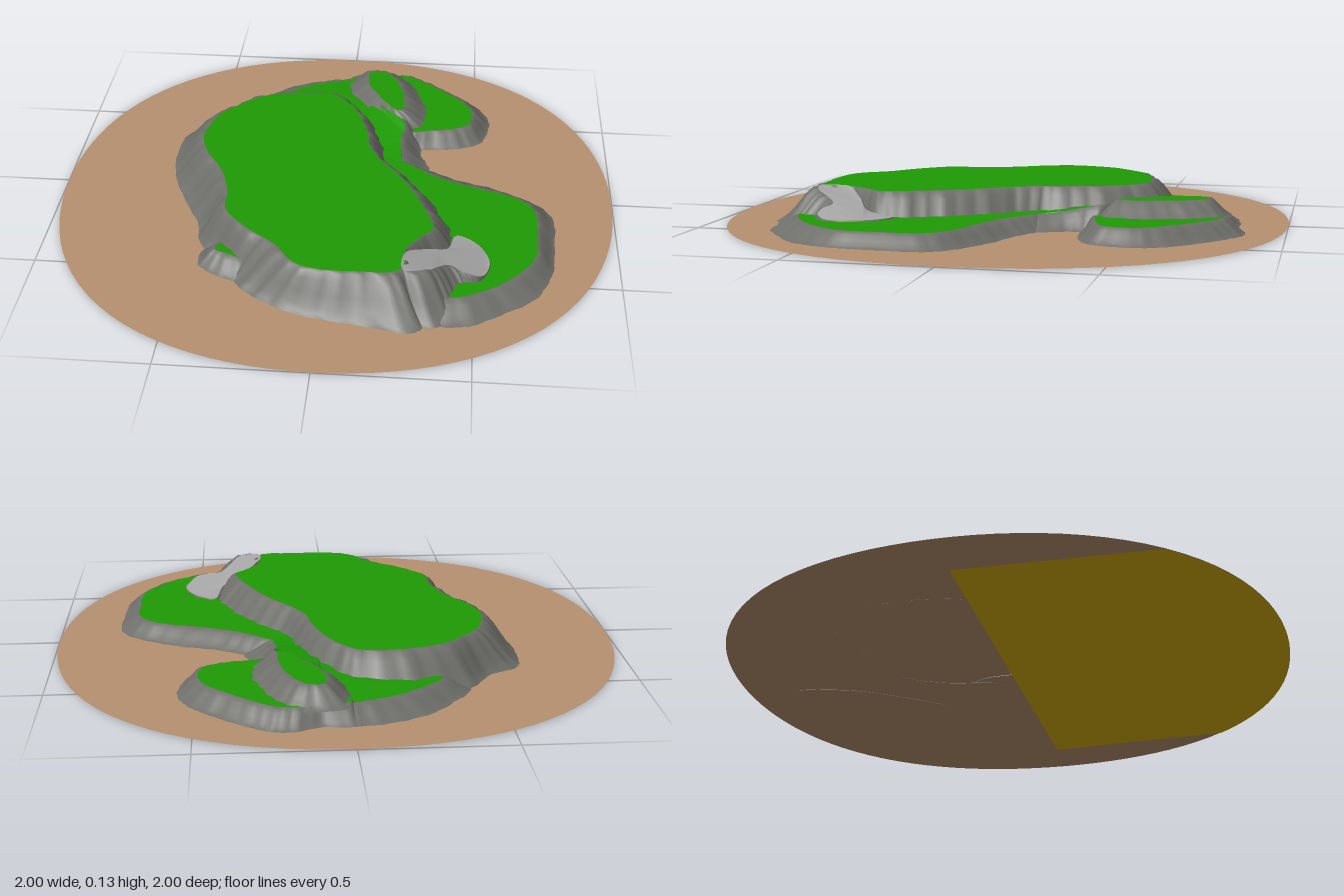
import * as THREE from 'three';

const mat = (name, color, side = THREE.FrontSide) => {
  const m = new THREE.MeshStandardMaterial({ color, side });
  m.name = name;
  return m;
};

// flat cap over an outline of Vector3, facing up (or down)
function capGeometry(ring, up = true) {
  const flat = ring.map(p => new THREE.Vector2(p.x, p.z));
  const index = [];
  for (const [a, b, c] of THREE.ShapeUtils.triangulateShape(flat, [])) {
    const e = flat[b].clone().sub(flat[a]), f = flat[c].clone().sub(flat[a]);
    const facesUp = e.y * f.x - e.x * f.y > 0;
    index.push(...(facesUp === up ? [a, b, c] : [a, c, b]));
  }
  const g = new THREE.BufferGeometry().setFromPoints(ring);
  g.setIndex(index);
  g.computeVertexNormals();
  return g;
}

// smooth closed outline through [x, z] points
function outline(points, samples) {
  const curve = new THREE.CatmullRomCurve3(
    points.map(([x, z]) => new THREE.Vector3(x, 0, z)), true, 'centripetal');
  return Array.from({ length: samples }, (_, i) => curve.getPoint(i / samples));
}

// cliff section: [part of the way out, part of the height]
const CLIFF = [[0, 1], [0.1, 0.97], [0.28, 0.8], [0.5, 0.5], [0.72, 0.22], [0.88, 0.07], [1, 0]];

// raised ground: rows of [topX, topZ, footX, footZ], clockwise from above
function plateau(name, rows, height, topMat, wallMat, base = 0) {
  const n = rows.length * 6;
  const top = outline(rows.map(r => [r[0], r[1]]), n);
  const foot = outline(rows.map(r => [r[2], r[3]]), n);
  top.forEach(p => { p.y = typeof height === 'number' ? height : height(p.x, p.z); });

  const verts = [], index = [];
  CLIFF.forEach(([out, up], k) => {
    for (let i = 0; i < n; i++) {
      // gentle vertical gullies in the rock
      const gully = k > 0 && k < CLIFF.length - 1 ? 0.04 * Math.sin(i * 1.9) + 0.03 * Math.sin(i * 0.83) : 0;
      const p = top[i].clone().lerp(foot[i], out + gully);
      p.y = base + (top[i].y - base) * up;
      verts.push(p);
      if (k === 0) continue;
      const j = (i + 1) % n, a = (k - 1) * n, b = k * n;
      index.push(a + i, a + j, b + i, a + j, b + j, b + i);
    }
  });
  const wall = new THREE.BufferGeometry().setFromPoints(verts);
  wall.setIndex(index);
  wall.computeVertexNormals();

  const group = new THREE.Group();
  group.name = name;
  const cliff = new THREE.Mesh(wall, wallMat);
  cliff.name = name + 'Cliff';
  const ground = new THREE.Mesh(capGeometry(top), topMat);
  ground.name = name + 'Ground';
  group.add(cliff, ground);
  return group;
}

export function createModel() {
  const sand = mat('brown earth', 0xb7916f, THREE.DoubleSide);
  const yellow = mat('yellow underside', 0xd6b00a);
  const grass = mat('green grass', 0x1e9a05);
  const rock = mat('grey rock', 0x6e6e6a);
  const gravel = mat('light grey gravel', 0xa6a6a6);
  const island = new THREE.Group();
  island.name = 'island';

  // thin round base, slightly fuller on the diagonals
  const rim = Array.from({ length: 96 }, (_, i) => {
    const a = i / 96 * Math.PI * 2, r = 1 + 0.03 * Math.sin(2 * a) ** 2;
    return new THREE.Vector3(r * Math.cos(a), 0.002, r * Math.sin(a));
  });
  const base = new THREE.Mesh(capGeometry(rim), sand);
  base.name = 'base';

  // yellow sheet under the front half
  const half = rim.filter(p => p.z > 0.001 && Math.abs(p.x) < 0.8).map(p => new THREE.Vector3(p.x, 0, p.z));
  half.push(new THREE.Vector3(-0.8, 0, 0), new THREE.Vector3(0.8, 0, 0));
  const sheet = new THREE.Mesh(capGeometry(half, false), yellow);
  sheet.name = 'undersideSheet';
  island.add(base, sheet);

  // tall main plateau
  island.add(plateau('mainPlateau', [
    [-0.50, -0.22, -0.63, -0.26], [-0.47, -0.31, -0.61, -0.36], [-0.42, -0.37, -0.51, -0.42],
    [-0.33, -0.45, -0.42, -0.54], [-0.20, -0.49, -0.24, -0.62], [-0.06, -0.49, -0.03, -0.62],
    [0.01, -0.43, 0.09, -0.49], [0.07, -0.31, 0.18, -0.34], [0.10, -0.20, 0.20, -0.21],
    [0.11, -0.13, 0.21, -0.13], [0.16, -0.03, 0.27, -0.06], [0.24, 0.08, 0.36, 0.05],
    [0.30, 0.20, 0.43, 0.17], [0.34, 0.30, 0.47, 0.28], [0.36, 0.38, 0.46, 0.38],
    [0.32, 0.43, 0.38, 0.46], [0.27, 0.51, 0.33, 0.53], [0.27, 0.60, 0.36, 0.67],
    [0.23, 0.635, 0.32, 0.785], [0.12, 0.64, 0.12, 0.76], [0.00, 0.64, -0.05, 0.73],
    [-0.09, 0.61, -0.22, 0.65], [-0.17, 0.51, -0.31, 0.56], [-0.27, 0.43, -0.36, 0.47],
    [-0.36, 0.32, -0.45, 0.36], [-0.37, 0.21, -0.48, 0.24], [-0.41, 0.08, -0.55, 0.10],
    [-0.48, -0.04, -0.61, -0.05], [-0.51, -0.14, -0.63, -0.16],
  ], 0.13, grass, rock));

  // small ledge on the right side
  island.add(plateau('sideLedge', [
    [-0.37, 0.42, -0.43, 0.38], [-0.30, 0.43, -0.28, 0.42], [-0.28, 0.49, -0.26, 0.57],
    [-0.34, 0.47, -0.37, 0.54], [-0.38, 0.45, -0.44, 0.48],
  ], 0.05, grass, rock));

  // low terrace on the left side
  island.add(plateau('lowTerrace', [
    [0.05, -0.12, 0.05, -0.14], [0.20, -0.17, 0.20, -0.20], [0.28, -0.12, 0.33, -0.18],
    [0.36, -0.06, 0.42, -0.13], [0.50, 0.00, 0.56, -0.08], [0.64, 0.05, 0.69, -0.01],
    [0.71, 0.12, 0.78, 0.08], [0.72, 0.25, 0.79, 0.24], [0.71, 0.41, 0.77, 0.45],
    [0.63, 0.53, 0.72, 0.57], [0.53, 0.61, 0.59, 0.68], [0.43, 0.65, 0.44, 0.755],
    [0.25, 0.60, 0.25, 0.68], [0.10, 0.40, 0.08, 0.42], [0.05, 0.10, 0.03, 0.10],
  ], 0.05, grass, rock));

  // back slope: low along the shore, climbing beside the mound
  const { smoothstep, clamp } = THREE.MathUtils;
  const slope = (x, z) => 0.05 + 0.045 * smoothstep(x, -0.05, 0.14) *
    smoothstep(-z, 0.15, 0.44) * (1 - smoothstep(-z, 0.46, 0.66));
  island.add(plateau('backSlope', [
    [-0.32, -0.55, -0.42, -0.53], [-0.25, -0.63, -0.35, -0.66], [-0.15, -0.70, -0.22, -0.78],
    [-0.05, -0.735, -0.07, -0.83], [0.02, -0.755, 0.05, -0.83], [0.06, -0.66, 0.08, -0.66],
    [0.09, -0.55, 0.13, -0.53], [0.16, -0.45, 0.21, -0.43], [0.23, -0.37, 0.31, -0.35],
    [0.22, -0.27, 0.30, -0.28], [0.23, -0.17, 0.34, -0.19], [0.22, -0.07, 0.30, -0.08],
    [0.10, -0.10, 0.10, -0.06], [0.06, -0.28, 0.04, -0.25], [-0.02, -0.42, -0.04, -0.38],
    [-0.18, -0.46, -0.18, -0.42],
  ], slope, grass, rock));

  // low lobe at the back
  island.add(plateau('backLobe', [
    [0.00, -0.75, -0.02, -0.83], [0.10, -0.775, 0.10, -0.835], [0.18, -0.79, 0.20, -0.87],
    [0.24, -0.78, 0.27, -0.855], [0.31, -0.73, 0.34, -0.81], [0.40, -0.65, 0.46, -0.71],
    [0.47, -0.57, 0.55, -0.59], [0.49, -0.50, 0.56, -0.48], [0.47, -0.42, 0.52, -0.37],
    [0.41, -0.39, 0.44, -0.33], [0.32, -0.37, 0.31, -0.31], [0.24, -0.36, 0.24, -0.32],
    [0.14, -0.48, 0.12, -0.46], [0.04, -0.62, 0.02, -0.62],
  ], 0.056, grass, rock));

  // narrow curved mound between slope and lobe
  island.add(plateau('mound', [
    [0.08, -0.72, 0.00, -0.78], [0.12, -0.73, 0.13, -0.81], [0.16, -0.70, 0.23, -0.78],
    [0.20, -0.62, 0.29, -0.67], [0.22, -0.53, 0.33, -0.55], [0.22, -0.44, 0.33, -0.44],
    [0.20, -0.43, 0.29, -0.36], [0.17, -0.46, 0.20, -0.37], [0.12, -0.54, 0.04, -0.53],
    [0.08, -0.62, -0.01, -0.63],
  ], 0.107, grass, rock, 0.045));

  // gravel ramp from the terrace up to the plateau
  const ramp = (x, z) => 0.133 - 0.079 * clamp(((x - 0.30) * 0.83 - (z - 0.56) * 0.56) / 0.22, 0, 1);
  island.add(plateau('gravelRamp', [
    [0.27, 0.53, 0.27, 0.51], [0.34, 0.46, 0.33, 0.44], [0.41, 0.41, 0.39, 0.39],
    [0.44, 0.31, 0.43, 0.29], [0.51, 0.35, 0.53, 0.34], [0.555, 0.46, 0.57, 0.46],
    [0.52, 0.55, 0.53, 0.57], [0.47, 0.55, 0.51, 0.59], [0.42, 0.53, 0.50, 0.61],
    [0.38, 0.57, 0.47, 0.67], [0.35, 0.61, 0.44, 0.72], [0.27, 0.625, 0.33, 0.76],
  ], ramp, gravel, rock));

  return island;
}
